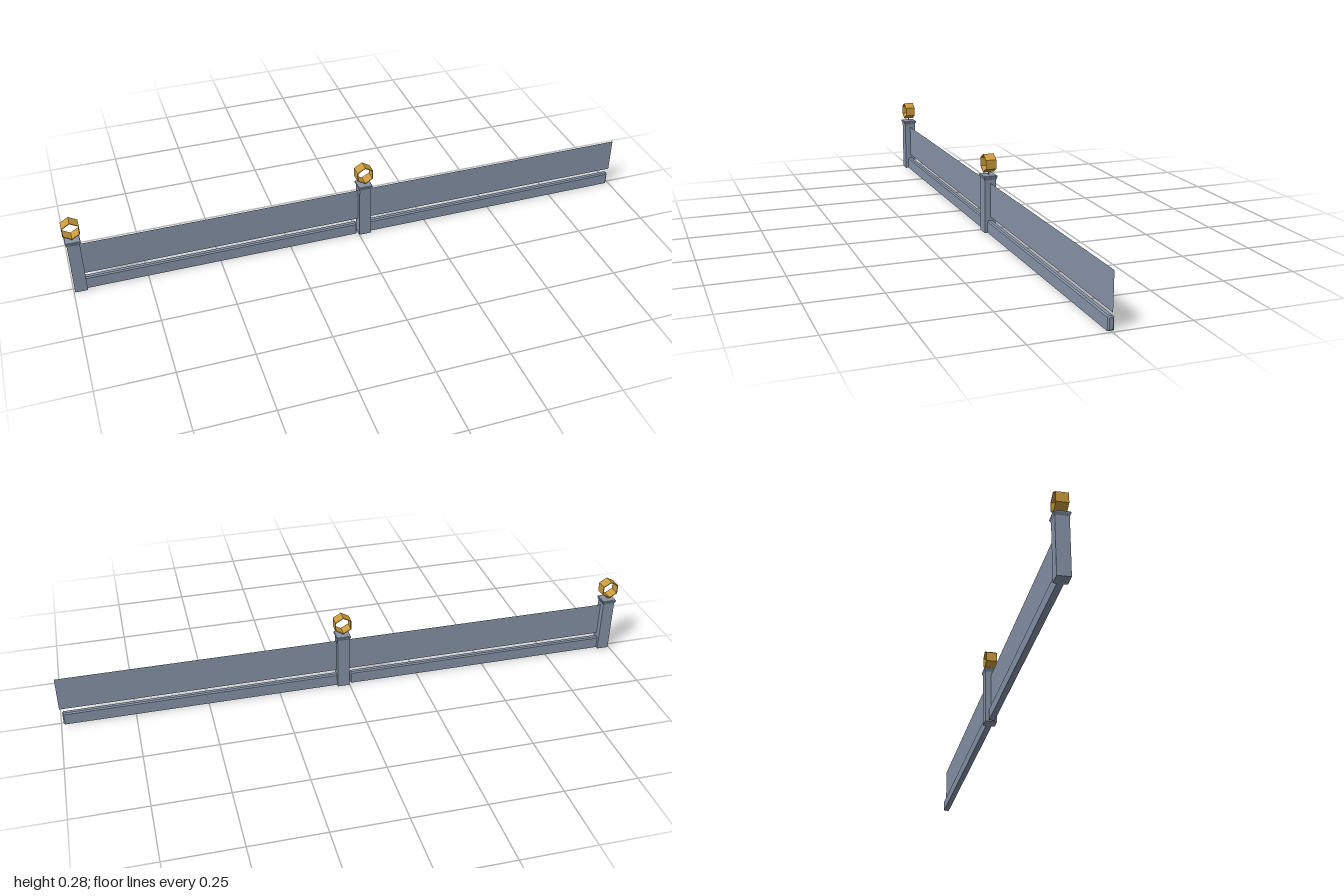
import * as THREE from 'three';

const slate = new THREE.MeshStandardMaterial({ color: 0x8693a7, side: THREE.DoubleSide });
slate.name = 'slate';
const gold = new THREE.MeshStandardMaterial({ color: 0xcb9b3c });
gold.name = 'gold';

function part(name, geometry, material) {
  const mesh = new THREE.Mesh(geometry, material);
  mesh.name = name;
  return mesh;
}

// Square post with a flared cap: one four-sided turned profile
function postGeometry() {
  const profile = [[0, 0], [0.021, 0], [0.021, 0.19], [0.025, 0.199], [0.025, 0.202], [0.0235, 0.204], [0, 0.204]];
  const points = profile.map(([r, y]) => new THREE.Vector2(r * Math.SQRT2, y));
  const geometry = new THREE.LatheGeometry(points, 4).rotateY(Math.PI / 4).toNonIndexed();
  geometry.computeVertexNormals();
  return geometry;
}

// Base rail with chamfered ends and top edges, running along x from 0
function railGeometry(length) {
  const b = 0.004, w = 0.006, top = 0.04;
  const shape = new THREE.Shape();
  shape.moveTo(-w, b);
  shape.lineTo(w, b);
  shape.lineTo(w, top - 0.002);
  shape.lineTo(w - 0.002, top);
  shape.lineTo(-w + 0.002, top);
  shape.lineTo(-w, top - 0.002);
  shape.closePath();
  return new THREE.ExtrudeGeometry(shape, {
    depth: length - 2 * b, bevelEnabled: true, bevelThickness: b, bevelSize: b, bevelSegments: 1,
  }).translate(0, 0, b).rotateY(Math.PI / 2);
}

// Open hexagonal ring with a point at the top
function ringGeometry(outer, inner, depth) {
  const hexagon = (r) => Array.from({ length: 6 }, (_, i) => {
    const a = Math.PI / 2 + i * Math.PI / 3;
    return new THREE.Vector2(r * Math.cos(a), r * Math.sin(a));
  });
  const shape = new THREE.Shape(hexagon(outer));
  shape.holes.push(new THREE.Path(hexagon(inner)));
  return new THREE.ExtrudeGeometry(shape, { depth, bevelEnabled: false }).translate(0, 0, -depth / 2);
}

export function createModel() {
  const model = new THREE.Group();
  model.name = 'fence';
  const post = postGeometry();
  const rail = railGeometry(0.97);
  const panel = new THREE.PlaneGeometry(0.978, 0.121);
  const ring = ringGeometry(0.0325, 0.0295, 0.038);
  const stem = new THREE.BoxGeometry(0.003, 0.014, 0.003);

  // Two identical bays: post, ornament, rail and panel
  [-0.975, 0.022].forEach((x, i) => {
    const bay = new THREE.Group();
    bay.name = `bay${i + 1}`;
    bay.position.x = x;
    bay.add(part('post', post, slate));
    bay.add(part('baseRail', rail, slate));

    const sheet = part('panel', panel, slate);
    sheet.position.set(0.489, 0.1175, 0);
    bay.add(sheet);

    const ornament = new THREE.Group();
    ornament.name = 'ornament';
    const hexRing = part('hexRing', ring, gold);
    hexRing.position.y = 0.2455;
    const pin = part('stem', stem, gold);
    pin.position.y = 0.209;
    ornament.add(hexRing, pin);
    bay.add(ornament);
    model.add(bay);
  });
  return model;
}
